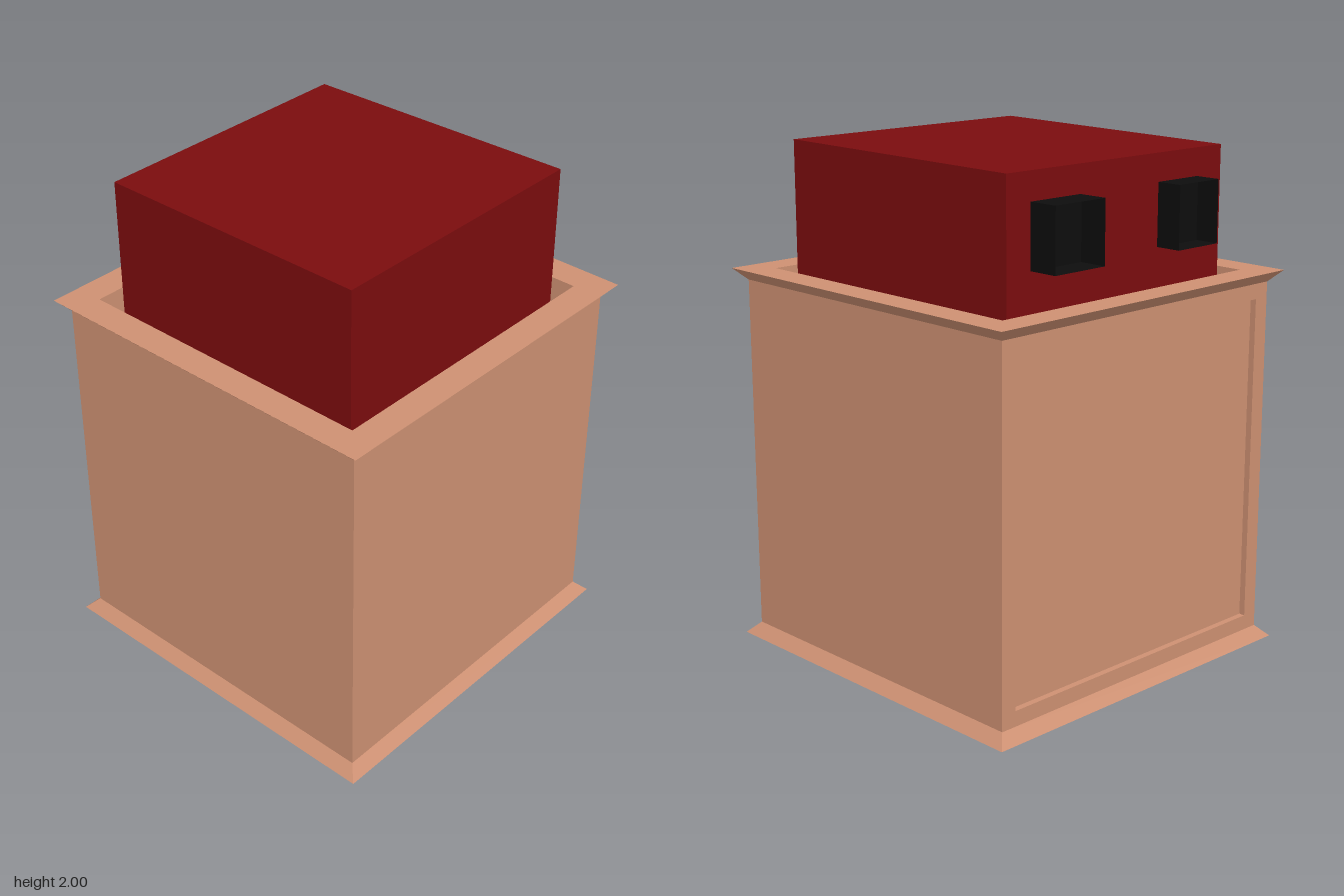
import * as THREE from 'three';

const paint = (color, side = THREE.FrontSide) =>
  new THREE.MeshStandardMaterial({ color, side, flatShading: true });

// Square-plan solid swept from a profile of [half width, y] points
function squareLathe(profile, start = Math.PI / 4, sides = 4) {
  const points = profile.map(([r, y]) => new THREE.Vector2(r * Math.SQRT2, y));
  return new THREE.LatheGeometry(points, sides, start, sides * Math.PI / 2);
}

function rectangle(target, x0, y0, x1, y1) {
  target.moveTo(x0, y0).lineTo(x1, y0).lineTo(x1, y1).lineTo(x0, y1).closePath();
  return target;
}

export function createModel() {
  const model = new THREE.Group();
  const clay = paint(0xcd9072);
  const red = paint(0x7b0c0e);
  const black = paint(0x0d0d0d, THREE.DoubleSide);

  function add(name, geometry, material, parent = model) {
    const mesh = new THREE.Mesh(geometry, material);
    mesh.name = name;
    parent.add(mesh);
    return mesh;
  }

  // Flared foot and flared rim with a sunken top
  add('base', squareLathe([[0, 0], [0.75, 0], [0.705, 0.045]]), clay);
  add('rim', squareLathe([[0.705, 1.46], [0.75, 1.505], [0.63, 1.505], [0.63, 1.4], [0, 1.4]]), clay);

  // Front and side walls, leaving the back open
  add('walls', squareLathe([[0.705, 0.045], [0.705, 1.46]], Math.PI * 1.25, 3), clay);

  // Back wall: a frame around a shallow recessed panel
  const back = new THREE.Group();
  back.name = 'backWall';
  model.add(back);
  const depth = 0.025;
  const frame = rectangle(new THREE.Shape(), -0.705, 0.045, 0.705, 1.46);
  frame.holes.push(rectangle(new THREE.Path(), -0.64, 0.105, 0.64, 1.4));
  add('backFrame', new THREE.ExtrudeGeometry(frame, { depth, bevelEnabled: false }), clay, back)
    .position.z = -0.705;
  const panel = add('backPanel', new THREE.PlaneGeometry(1.28, 1.295), clay, back);
  panel.rotation.y = Math.PI;
  panel.position.set(0, 0.7525, -0.705 + depth);

  // Upper block, slightly narrower and lower towards the back
  const block = new THREE.BoxGeometry(1.14, 0.6, 1.145);
  block.translate(0, 1.7, -0.0025);
  const p = block.attributes.position;
  for (let i = 0; i < p.count; i++) {
    if (p.getZ(i) > 0) continue;
    p.setX(i, p.getX(i) * 0.982);
    if (p.getY(i) > 1.9) p.setY(i, 1.987);
  }
  block.computeVertexNormals();
  add('upperBlock', block, red);

  // Square ports on the back, open at their outer end
  for (const [name, x0, x1, length] of [['leftPort', 0.2, 0.445, 0.12], ['rightPort', -0.425, -0.21, 0.105]]) {
    const port = new THREE.Group();
    port.name = name;
    port.position.set((x0 + x1) / 2, 1.76, -0.575);
    model.add(port);
    const w = x1 - x0, h = 0.24;
    for (const s of [-1, 1]) {
      const side = add('portSide', new THREE.PlaneGeometry(length, h), black, port);
      side.rotation.y = s * Math.PI / 2;
      side.position.set(s * w / 2, 0, -length / 2);
      const cover = add('portCover', new THREE.PlaneGeometry(w, length), black, port);
      cover.rotation.x = -s * Math.PI / 2;
      cover.position.set(0, s * h / 2, -length / 2);
    }
    const floor = add('portFloor', new THREE.PlaneGeometry(w, h), black, port);
    floor.rotation.y = Math.PI;
    floor.position.z = -0.006;
  }
  return model;
}
